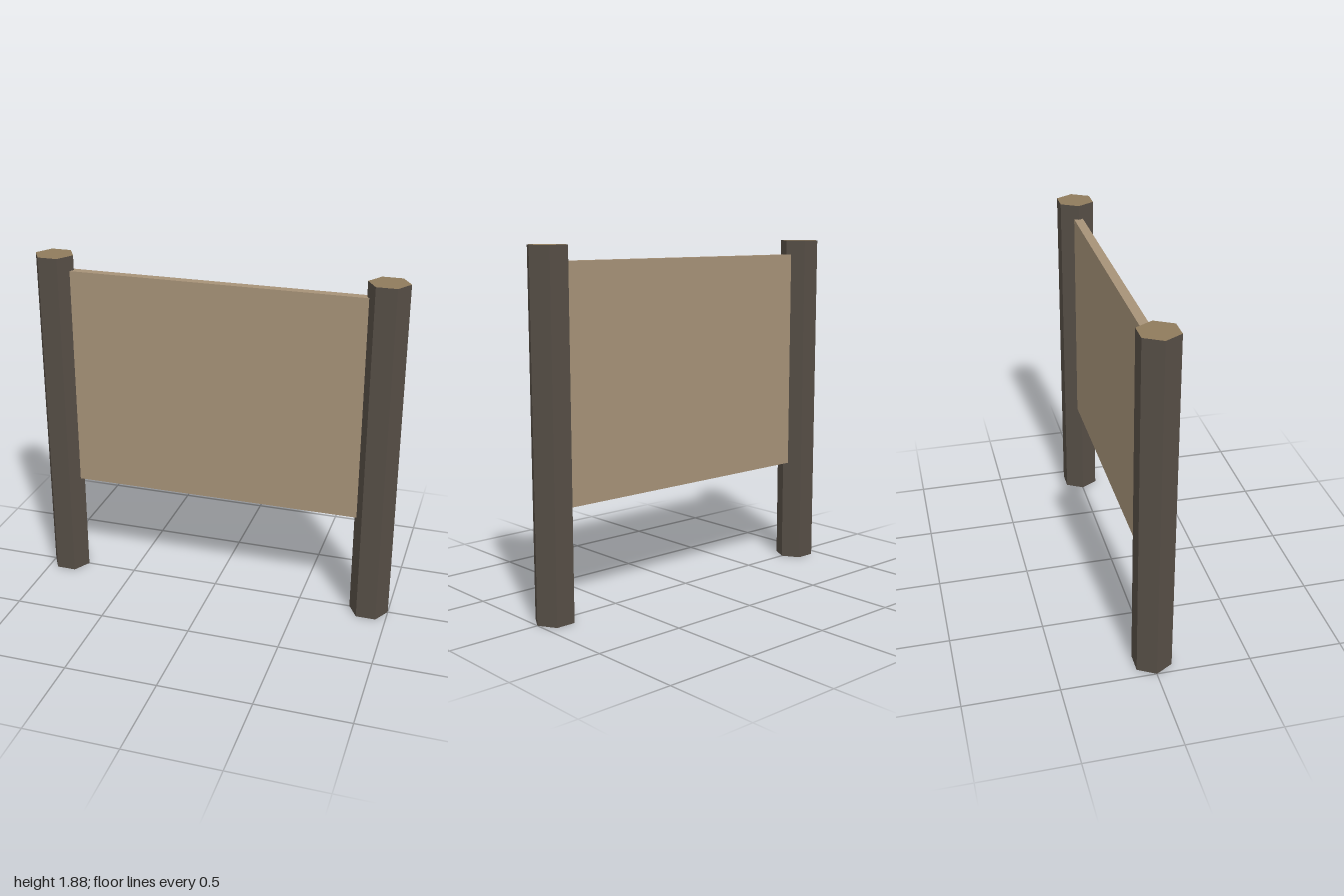
import * as THREE from 'three';

const POST_RADIUS = 0.1075, POST_HEIGHT = 1.88;
const BOARD_BOTTOM = 0.575, BOARD_TOP = 1.8;

export function createModel() {
  const model = new THREE.Group();
  model.name = 'signBoard';

  const bark = new THREE.MeshStandardMaterial({ color: 0x564e46, flatShading: true });
  const cutWood = new THREE.MeshStandardMaterial({ color: 0x8f7b5c, flatShading: true });
  const plank = new THREE.MeshStandardMaterial({ color: 0xa69278, flatShading: true });

  // Hexagonal posts with a corner pointing along x and pale cut ends
  const postGeometry = new THREE.CylinderGeometry(
    POST_RADIUS, POST_RADIUS, POST_HEIGHT, 6, 1, false, Math.PI / 2);
  for (const [name, side] of [['leftPost', 1], ['rightPost', -1]]) {
    const post = new THREE.Mesh(postGeometry, [bark, cutWood, cutWood]);
    post.name = name;
    post.position.set(side * (1 - POST_RADIUS), POST_HEIGHT / 2, 0);
    model.add(post);
  }

  // Thin board, its ends set into the posts
  const board = new THREE.Mesh(
    new THREE.BoxGeometry(1.66, BOARD_TOP - BOARD_BOTTOM, 0.05), plank);
  board.name = 'board';
  board.position.y = (BOARD_TOP + BOARD_BOTTOM) / 2;
  model.add(board);

  return model;
}
